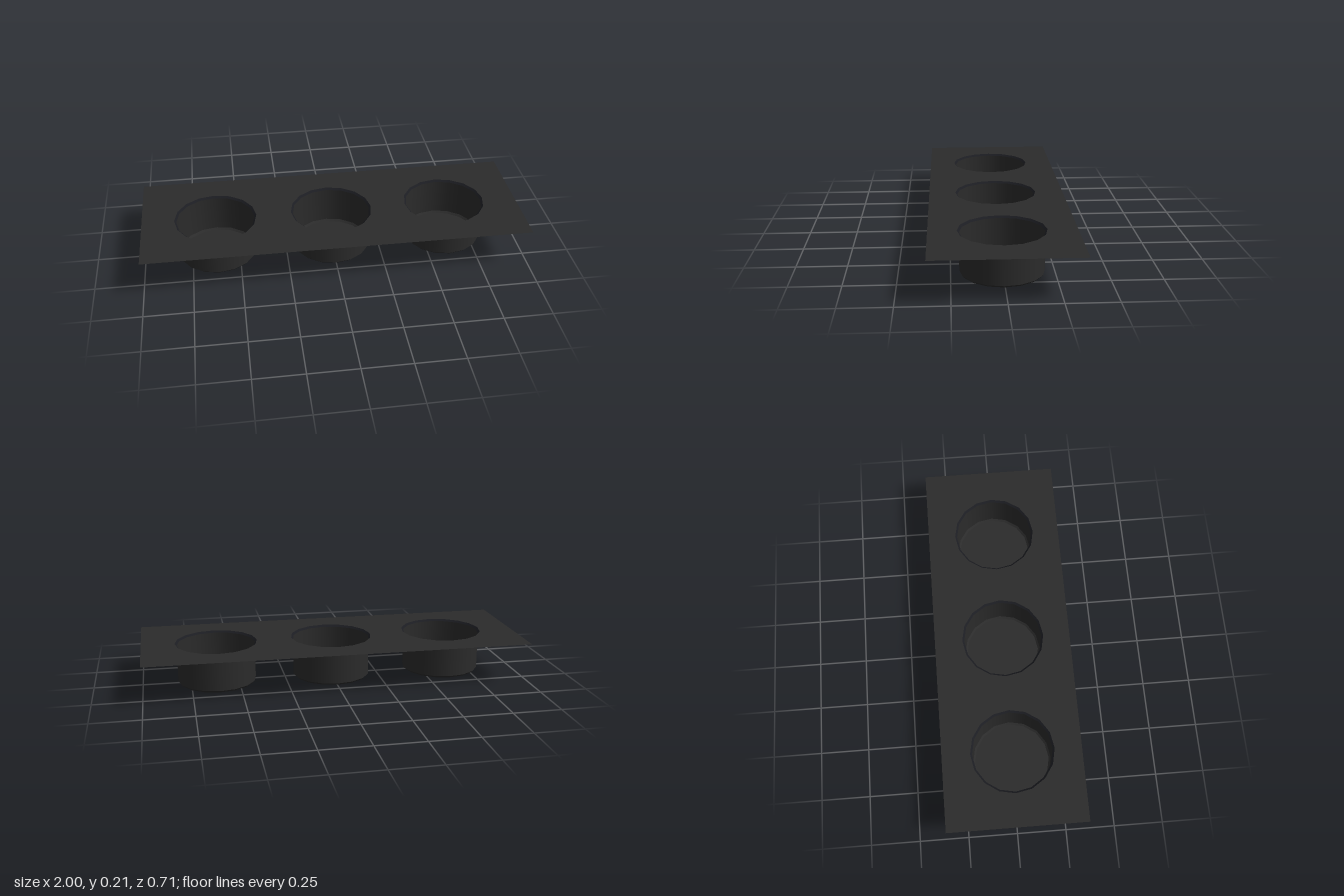
import * as THREE from 'three';

const SIDES = 16, TOP = 0.213, R = 0.205, BEVEL = 0.01;
const CUP_X = [-0.616, -0.002, 0.612], CUP_Z = 0.003;

export function createModel() {
  const group = new THREE.Group();
  const charcoal = new THREE.MeshStandardMaterial({ color: 0x2b2b2b, side: THREE.DoubleSide });
  const darkRim = new THREE.MeshStandardMaterial({ color: 0x1c1d22, side: THREE.DoubleSide });

  const add = (parent, name, geometry, material) => {
    const mesh = new THREE.Mesh(geometry, material);
    mesh.name = name;
    parent.add(mesh);
    return mesh;
  };

  // Flat sheet with a polygonal opening for each cup
  const outline = new THREE.Shape([
    new THREE.Vector2(-1, -0.357), new THREE.Vector2(1, -0.357),
    new THREE.Vector2(1, 0.357), new THREE.Vector2(-1, 0.357),
  ]);
  for (const x of CUP_X) {
    const corners = [];
    for (let i = 0; i < SIDES; i++) {
      const a = -i / SIDES * Math.PI * 2;
      corners.push(new THREE.Vector2(x + (R + BEVEL) * Math.cos(a), -CUP_Z + (R + BEVEL) * Math.sin(a)));
    }
    outline.holes.push(new THREE.Path(corners));
  }
  const sheet = new THREE.ShapeGeometry(outline);
  sheet.rotateX(-Math.PI / 2);
  sheet.translate(0, TOP, 0);
  add(group, 'topSheet', sheet, charcoal);

  // One lathed band per face of the cup keeps the bevel edges crisp
  const band = (r0, y0, r1, y1) =>
    new THREE.LatheGeometry([new THREE.Vector2(r0, y0), new THREE.Vector2(r1, y1)], SIDES);
  const rim = band(R, TOP - BEVEL, R + BEVEL, TOP);
  const wall = band(R, BEVEL, R, TOP - BEVEL);
  const bevel = band(R - BEVEL, 0, R, BEVEL);
  const floor = band(0, 0, R - BEVEL, 0);

  for (const x of CUP_X) {
    const cup = new THREE.Group();
    cup.name = 'cup';
    cup.position.set(x, 0, CUP_Z);
    add(cup, 'cupRim', rim, darkRim);
    add(cup, 'cupWall', wall, charcoal);
    add(cup, 'cupBottomBevel', bevel, charcoal);
    add(cup, 'cupFloor', floor, charcoal);
    group.add(cup);
  }
  return group;
}
